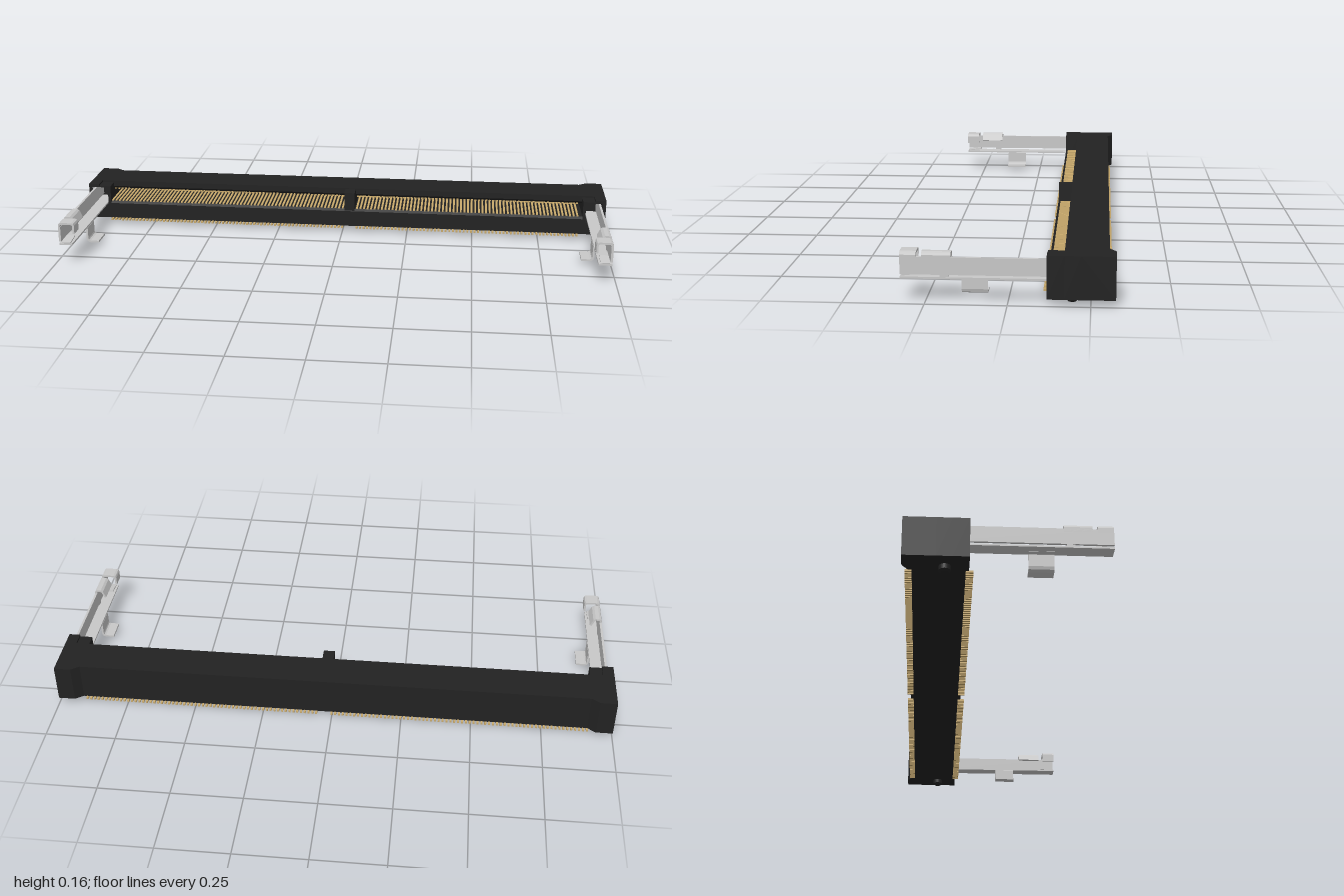
import * as THREE from 'three';
import { mergeGeometries } from 'three/addons/utils/BufferGeometryUtils.js';

const black = new THREE.MeshStandardMaterial({ color: 0x222222 });
black.name = 'black plastic';
const steel = new THREE.MeshStandardMaterial({ color: 0xc8c8c8 });
steel.name = 'steel';
const gold = new THREE.MeshStandardMaterial({ color: 0xc9aa6c });
gold.name = 'gold contacts';

const toShape = (pts) => new THREE.Shape(pts.map(([x, y]) => new THREE.Vector2(x, y)));

// Extrude a front-view (x, y) outline from z0 to z1
function slab(shape, z0, z1) {
  return new THREE.ExtrudeGeometry(shape, { depth: z1 - z0, bevelEnabled: false }).translate(0, 0, z0);
}

function box(x0, x1, y0, y1, z0, z1) {
  return new THREE.BoxGeometry(Math.abs(x1 - x0), y1 - y0, z1 - z0)
    .translate((x0 + x1) / 2, (y0 + y1) / 2, (z0 + z1) / 2);
}

// Bent sheet metal: thicken an (x, y) path to its left, mirrored by s
function sheet(path, t, s, z0, z1) {
  const p = path.map(([x, y]) => new THREE.Vector2(x, y));
  const normal = (a, b) => new THREE.Vector2(a.y - b.y, b.x - a.x).normalize();
  const inner = p.map((q, i) => {
    const a = normal(p[Math.max(i - 1, 0)], p[Math.max(i, 1)]);
    const b = normal(p[Math.min(i, p.length - 2)], p[Math.min(i + 1, p.length - 1)]);
    const m = a.clone().add(b).normalize();
    return q.clone().addScaledVector(m, t / m.dot(a));
  });
  const outline = [...p, ...inner.reverse()].map((q) => [q.x * s, q.y]);
  return slab(toShape(outline), z0, z1);
}

export function createModel() {
  const model = new THREE.Group();
  model.name = 'cardSocket';
  const add = (name, geometry, material, parent = model) => {
    const mesh = new THREE.Mesh(geometry, material);
    mesh.name = name;
    parent.add(mesh);
    return mesh;
  };

  // Housing: C-shaped profile (-z, y) swept along x
  const profile = [[0.118, 0.022], [0.305, 0.022], [0.305, 0.158], [0.17, 0.158], [0.17, 0.136],
    [0.18, 0.126], [0.285, 0.126], [0.285, 0.09], [0.128, 0.09], [0.118, 0.082]];
  const housing = slab(toShape(profile), -0.92, 0.92);
  housing.rotateY(Math.PI / 2);
  add('housing', housing, black);
  add('slotKey', box(0.007, 0.047, 0.08, 0.155, -0.29, -0.12), black);

  // Contact rows inside the slot and solder tails under both edges
  const rows = {
    lowerContacts: [0.089, 0.093, -0.284, -0.127],
    upperContacts: [0.122, 0.127, -0.284, -0.176],
    frontTails: [0.016, 0.023, -0.128, -0.104],
    rearTails: [0.016, 0.023, -0.316, -0.294],
  };
  const pitch = 0.0138;
  for (const [name, [y0, y1, z0, z1]] of Object.entries(rows)) {
    const pins = [];
    for (let i = -66; i <= 65; i++) {
      const x = i * pitch;
      if (Math.abs(x - 0.027) < 0.022) continue;
      pins.push(box(x - 0.0035, x + 0.0035, y0, y1, z0, z1));
    }
    add(name, mergeGeometries(pins), gold);
  }

  for (const s of [1, -1]) {
    const side = s > 0 ? 'left' : 'right';

    // End block: solid rear with a chamfered ear
    const ear = toShape([[0.915, 0.22], [1, 0.22], [1, 0.325], [0.94, 0.325], [0.912, 0.305]]
      .map(([x, u]) => [x * s, u]));
    const rear = slab(ear, 0.022, 0.158);
    rear.rotateX(-Math.PI / 2);
    add(side + 'EndRear', rear, black);

    // End block: front with a pocket for the latch arm
    const front = (notch) => {
      const top = notch ? 0.151 : 0.158;
      const shape = toShape([[0.915, 0.022], [1, 0.022], [1, 0.158], [0.96, 0.158], [0.96, top], [0.915, top]]
        .map(([x, y]) => [x * s, y]));
      shape.holes.push(toShape([[0.926, 0.068], [0.986, 0.068], [0.986, 0.146], [0.926, 0.146]]
        .map(([x, y]) => [x * s, y])));
      return shape;
    };
    add(side + 'EndMiddle', slab(front(false), -0.22, -0.17), black);
    add(side + 'EndFront', slab(front(true), -0.17, -0.118), black);

    // Locating peg with a tapered tip
    const peg = new THREE.LatheGeometry([[0, 0], [0.013, 0], [0.019, 0.006], [0.019, 0.024]]
      .map(([r, y]) => new THREE.Vector2(r, y)), 24).toNonIndexed();
    peg.computeVertexNormals();
    add(side + 'Peg', peg.translate(s * 0.938, 0, -0.193), black);

    // Latch arm
    const arm = new THREE.Group();
    arm.name = side + 'LatchArm';
    model.add(arm);
    add('outerWall', box(s * 0.973, s * 0.981, 0.087, 0.142, -0.22, 0.325), steel, arm);
    add('lowerRail', box(s * 0.933, s * 0.981, 0.074, 0.08, -0.22, 0.325), steel, arm);
    add('railLink', box(s * 0.973, s * 0.98, 0.079, 0.088, 0.178, 0.204), steel, arm);

    // Curled tabs over the top of the arm
    add('tipHook', sheet([[0.981, 0.13], [0.981, 0.148], [0.978, 0.155], [0.971, 0.158],
      [0.932, 0.158], [0.925, 0.155], [0.922, 0.148], [0.922, 0.118]], 0.007, s, 0.275, 0.325), steel, arm);
    add('middleTab', sheet([[0.981, 0.13], [0.981, 0.148], [0.978, 0.155], [0.971, 0.158],
      [0.957, 0.158], [0.949, 0.152], [0.938, 0.128]], 0.007, s, 0.17, 0.259), steel, arm);

    // Sloping spring leaf inside the tip
    const leaf = box(s * 0.94, s * 0.972, -0.002, 0.002, -0.028, 0.028);
    leaf.rotateX(0.12).translate(0, 0.085, 0.296);
    add('springLeaf', leaf, steel, arm);

    // Solder foot: leg down from the rail, bent inwards
    add('solderFoot', sheet([[0.955, 0.08], [0.94, 0.08], [0.935, 0.078], [0.932, 0.073],
      [0.932, 0.032], [0.93, 0.026], [0.924, 0.023], [0.893, 0.023]], 0.007, s, 0.063, 0.143), steel, arm);
  }
  return model;
}
